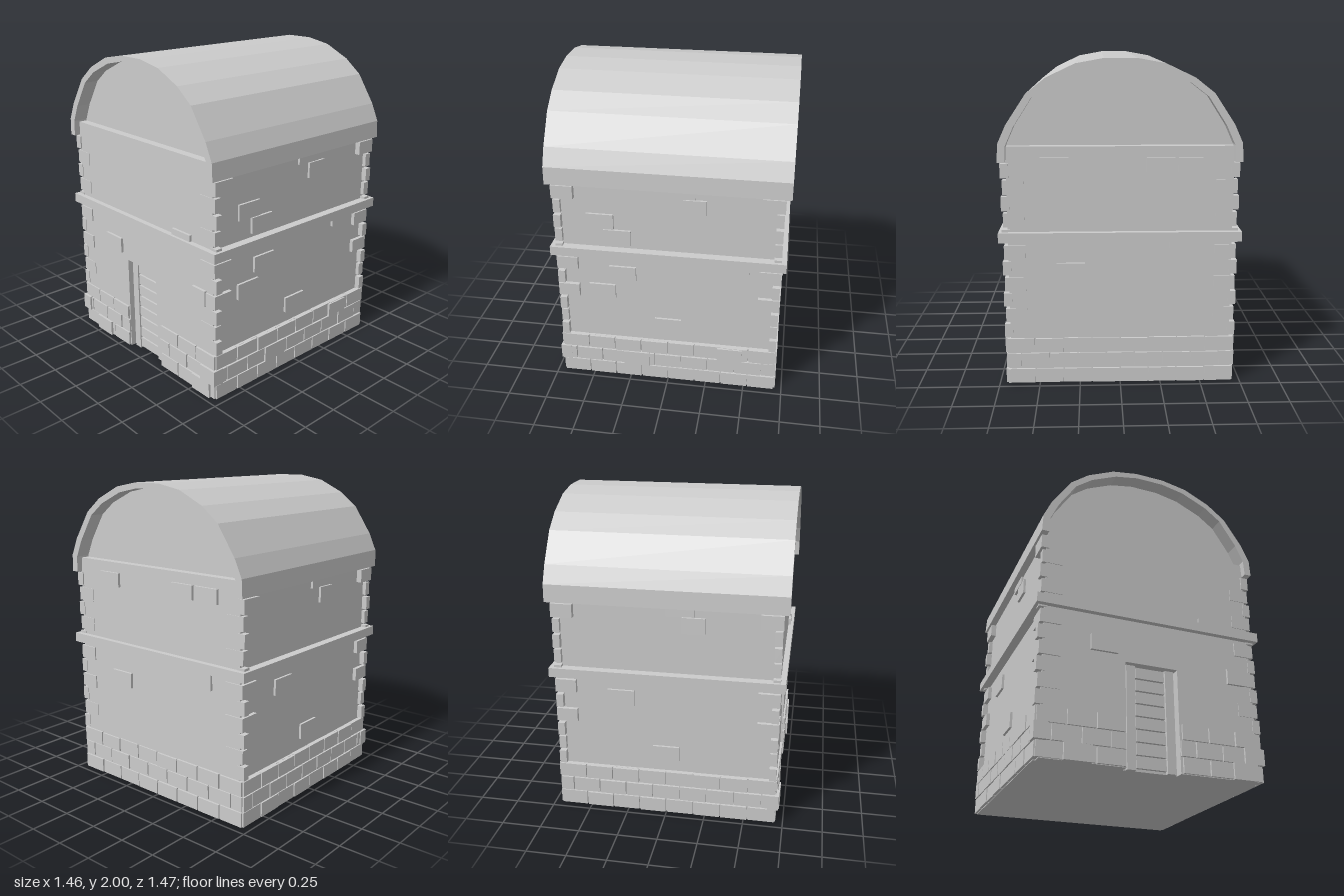
import * as THREE from 'three';

export function createModel() {
  const model = new THREE.Group();
  model.name = 'stoneHut';
  const mat = new THREE.MeshStandardMaterial({ color: 0xcccccc, flatShading: true });

  const group = (name, parent = model) => {
    const g = new THREE.Group();
    g.name = name;
    parent.add(g);
    return g;
  };
  // box given by its min and max on each axis
  const box = (name, parent, x0, x1, y0, y1, z0, z1) => {
    const m = new THREE.Mesh(new THREE.BoxGeometry(x1 - x0, y1 - y0, z1 - z0), mat);
    m.position.set((x0 + x1) / 2, (y0 + y1) / 2, (z0 + z1) / 2);
    m.name = name;
    parent.add(m);
    return m;
  };
  const extrude = (name, points, z0, z1) => {
    const shape = new THREE.Shape(points.map(p => new THREE.Vector2(p[0], p[1])));
    const geo = new THREE.ExtrudeGeometry(shape, { depth: z1 - z0, bevelEnabled: false });
    const m = new THREE.Mesh(geo, mat);
    m.position.z = z0;
    m.name = name;
    model.add(m);
    return m;
  };
  let seed = 7;
  const rand = () => (seed = (seed * 16807) % 2147483647) / 2147483647;

  // half profiles of the barrel roof, mirrored into full arches
  const mirror = half => [...half, ...half.map(([x, y]) => [-x, y]).reverse()];
  const outer = mirror([[0.72, 1.4], [0.715, 1.51], [0.665, 1.62], [0.545, 1.8], [0.43, 1.89], [0.26, 1.97], [0.095, 2]]);
  const inner = mirror([[0.675, 1.4], [0.67, 1.5], [0.62, 1.61], [0.51, 1.78], [0.405, 1.86], [0.24, 1.935], [0.09, 1.965]]);
  extrude('roof', [...outer, ...inner.slice().reverse()], -0.735, 0.735);

  // inner body with recessed gables
  extrude('bodyAndGables', [[0.675, 0], ...inner, [-0.675, 0]], -0.64, 0.64);

  // front wall with doorway, plain back wall; their tops form the gable ledges
  extrude('frontWall', [[-0.675, 0], [-0.17, 0], [-0.17, 0.64], [0.165, 0.64], [0.165, 0],
    [0.675, 0], [0.675, 1.49], [-0.675, 1.49]], 0.64, 0.695);
  box('backWall', model, -0.675, 0.675, 0, 1.49, -0.695, -0.64);

  // string course around the middle
  box('stringCourse', model, -0.73, 0.73, 0.915, 0.975, -0.73, 0.73);

  // door: side posts and a centre of horizontal planks
  const door = group('door');
  box('doorBack', door, -0.165, 0.16, 0, 0.635, 0.63, 0.645);
  box('doorPost', door, -0.155, -0.1, 0, 0.635, 0.64, 0.67);
  box('doorPost', door, 0.095, 0.15, 0, 0.635, 0.64, 0.67);
  for (let i = 0; i < 8; i++) {
    const y = 0.015 + i * 0.078;
    box('doorPlank', door, -0.095, 0.09, y, y + 0.067, 0.64, 0.665);
  }

  // masonry is laid on a panel facing +z, then the panel is turned to its side
  const panels = [['front', 0], ['left', 1], ['back', 2], ['right', 3]].map(([side, turn]) => {
    const g = group(side + 'Masonry');
    g.rotation.y = turn * Math.PI / 2;
    return g;
  });

  // plinth: three courses of staggered blocks over a core
  box('plinthCore', model, -0.69, 0.69, 0, 0.295, -0.695, 0.64);
  panels.forEach((panel, side) => {
    for (let row = 0; row < 3; row++) {
      const y = row * 0.1;
      const offset = row % 2 ? 0.0875 : 0;
      for (let k = -1; k < 8; k++) {
        const a = Math.max(-0.7, -0.7 + k * 0.175 + offset);
        const b = Math.min(0.7, -0.7 + (k + 1) * 0.175 + offset);
        if (b - a < 0.03) continue;
        const out = 0.704 + rand() * 0.006;
        const top = y + 0.094 + rand() * 0.004;
        // front courses stop at the doorway
        const spans = side ? [[a, b]] : [[a, Math.min(b, -0.168)], [Math.max(a, 0.163), b]];
        spans.forEach(([s, e]) => {
          if (e - s > 0.015) box('plinthBlock', panel, s + 0.004, e - 0.004, y + 0.004, top, 0.645, out);
        });
      }
    }
  });

  // corner quoins, long on some courses
  const quoins = group('quoins');
  for (const sx of [-1, 1]) for (const sz of [-1, 1]) {
    for (let i = 3; i < 14; i++) {
      const long = [6, 8, 13].includes(i);
      const lx = i % 2 ? 0.05 : 0.13, lz = long ? 0.135 : 0.045;
      const ox = i % 2 ? 0.71 : 0.7, oz = long ? 0.703 : 0.699;
      const q = box('quoin', quoins, 0, lx, i * 0.1 + 0.004, i * 0.1 + 0.09, 0, lz);
      q.position.x = sx * (ox - lx / 2);
      q.position.z = sz * (oz - lz / 2);
    }
  }

  // scattered raised stones: [across, height, width, tall], seen from outside
  const frontStones = [[-0.305, 0.73, 0.17, 0.1], [0.56, 0.65, 0.115, 0.1], [0.405, 0.97, 0.165, 0.09],
    [-0.46, 0.05, 0.165, 0.1], [0.58, 0.05, 0.16, 0.1], [0.645, 0.15, 0.13, 0.1], [-0.675, 0.15, 0.08, 0.1]];
  const sharedSideStones = [[0.09, 1.37, 0.17, 0.05], [0.17, 1.29, 0.14, 0.1], [-0.285, 0.79, 0.17, 0.1], [0, 0.42, 0.17, 0.1]];
  const leftStones = [...sharedSideStones, [-0.415, 1.155, 0.17, 0.1], [-0.31, 1.05, 0.17, 0.1], [0.43, 0.885, 0.16, 0.07],
    [-0.42, 0.65, 0.17, 0.1], [-0.205, 0.155, 0.17, 0.1], [0.405, 0.25, 0.16, 0.09]];
  const backStones = [[-0.39, 1.38, 0.17, 0.09], [0.24, 1.38, 0.17, 0.09], [0.43, 1.38, 0.17, 0.09],
    [-0.3, 0.73, 0.17, 0.1], [0.38, 0.86, 0.17, 0.1]];
  [frontStones, leftStones, backStones, sharedSideStones].forEach((stones, side) => {
    const face = side % 2 ? 0.69 : 0.712;
    stones.forEach(([u, y, w, h]) => {
      const out = y < 0.3 ? 0.72 : face;
      box('raisedStone', panels[side], u - w / 2, u + w / 2, y - h / 2, y + h / 2, 0.65, out);
    });
  });

  return model;
}
